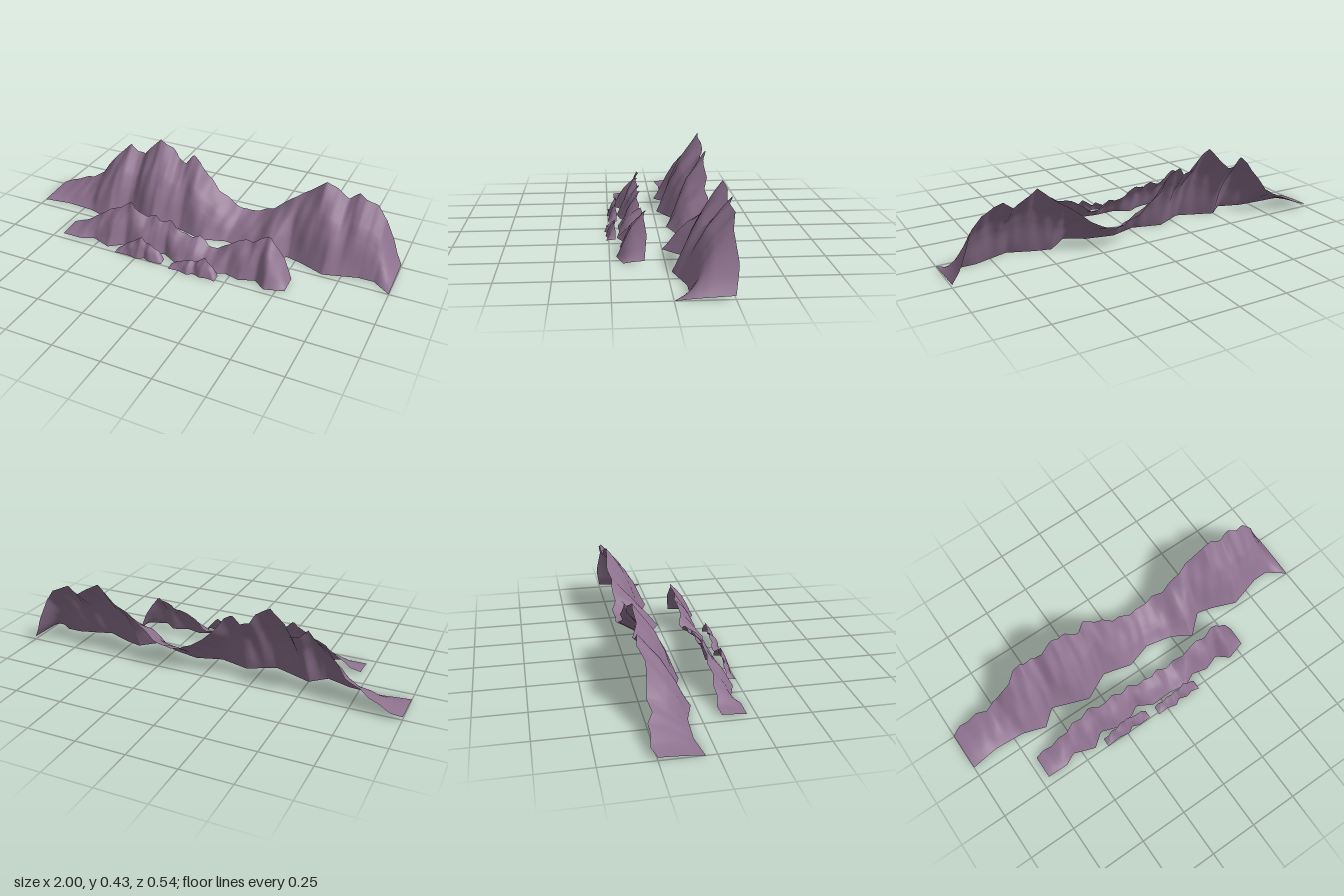
import * as THREE from 'three';

const rock = new THREE.MeshStandardMaterial({ color: 0x8e728f, side: THREE.DoubleSide });
rock.name = 'mauve rock';

// straight-line interpolation through [x, value] points
function sample(points, x) {
  for (let i = 1; i < points.length; i++) {
    const [x0, a] = points[i - 1], [x1, b] = points[i];
    if (x <= x1) return a + (b - a) * (x - x0) / (x1 - x0);
  }
  return points[points.length - 1][1];
}

// slope from foot (0) to crest (1): depth fraction -> height fraction
const slope = [[0, 0], [0.1, 0.13], [0.28, 0.41], [0.5, 0.65], [0.75, 0.83], [1, 1]];

// An open sheet rising from a zigzag foot line to a jagged crest line
function ridge(name, columns, rows, crest, foot, back, rough) {
  const x0 = crest[0][0], x1 = crest[crest.length - 1][0];
  const geometry = new THREE.PlaneGeometry(1, 1, columns, rows);
  const p = geometry.attributes.position;
  for (let i = 0; i < p.count; i++) {
    const u = p.getX(i) + 0.5, t = p.getY(i) + 0.5;
    const x = x0 + (x1 - x0) * u;
    const h = sample(crest, x), zf = sample(foot, x), zb = sample(back, x);
    // gullies that fade out at the foot, the crest and the ends
    const fade = Math.sin(Math.PI * t) * Math.min(1, 8 * u, 8 * (1 - u));
    const k = u * columns;
    const gully = fade * rough * (Math.sin(k * 0.42 + 3 * t) + 0.6 * Math.sin(k * 0.83 - 5 * t + 1));
    p.setXYZ(i, x, h * sample(slope, t), zf + (zb - zf) * t + gully);
  }
  geometry.computeVertexNormals();
  const mesh = new THREE.Mesh(geometry, rock);
  mesh.name = name;
  return mesh;
}

// crest depth that zigzags between the listed offsets
function jagged(x0, x1, z, offsets) {
  return offsets.map((o, i) => [x0 + (x1 - x0) * i / (offsets.length - 1), z + o]);
}

export function createModel() {
  const group = new THREE.Group();
  group.name = 'mountainRange';

  group.add(ridge('backRidge', 200, 14,
    [[-1, 0.015], [-0.93, 0.04], [-0.86, 0.075], [-0.78, 0.11], [-0.72, 0.15], [-0.68, 0.21], [-0.62, 0.28],
      [-0.54, 0.36], [-0.5, 0.32], [-0.46, 0.315], [-0.41, 0.37], [-0.35, 0.43], [-0.28, 0.39], [-0.25, 0.34],
      [-0.2, 0.32], [-0.165, 0.37], [-0.12, 0.34], [-0.07, 0.27], [0, 0.2], [0.06, 0.16], [0.13, 0.125],
      [0.17, 0.12], [0.23, 0.13], [0.31, 0.17], [0.4, 0.25], [0.5, 0.32], [0.58, 0.39], [0.64, 0.36],
      [0.7, 0.32], [0.75, 0.36], [0.8, 0.335], [0.85, 0.315], [0.9, 0.25], [0.94, 0.15], [0.97, 0.07], [1, 0.015]],
    [[-1, -0.05], [-0.86, -0.07], [-0.7, -0.06], [-0.58, -0.02], [-0.5, -0.09], [-0.31, -0.02], [-0.17, -0.09],
      [-0.02, -0.05], [0.11, -0.09], [0.25, -0.06], [0.35, 0], [0.45, -0.09], [0.53, -0.07], [0.66, -0.02],
      [0.83, -0.07], [0.91, -0.07], [1, 0]],
    jagged(-1, 1, -0.25, [0, -0.022, -0.01, -0.015, 0.015, 0, 0.01, 0.015, -0.015, -0.005, -0.02, 0.01, 0, 0.005,
      -0.015, 0.005, -0.02, 0, -0.015, 0.005, -0.01, 0.005, -0.01, -0.005, -0.015, 0.01, 0, 0.005, -0.012, -0.005,
      0, -0.015, -0.005, -0.02, 0, -0.015, 0, -0.02, 0]),
    0.006));

  group.add(ridge('middleRidge', 130, 10,
    [[-0.71, 0.01], [-0.65, 0.03], [-0.6, 0.06], [-0.53, 0.11], [-0.48, 0.145], [-0.42, 0.17], [-0.35, 0.22],
      [-0.31, 0.18], [-0.26, 0.155], [-0.21, 0.175], [-0.17, 0.15], [-0.12, 0.165], [-0.06, 0.12], [0, 0.105],
      [0.04, 0.12], [0.09, 0.075], [0.14, 0.07], [0.19, 0.11], [0.25, 0.15], [0.29, 0.165], [0.33, 0.165],
      [0.37, 0.195], [0.42, 0.215], [0.46, 0.165], [0.5, 0.1], [0.54, 0.01]],
    [[-0.71, 0.21], [-0.6, 0.21], [-0.54, 0.18], [-0.43, 0.22], [-0.36, 0.165], [-0.26, 0.2], [-0.18, 0.185],
      [-0.13, 0.155], [-0.05, 0.2], [0.06, 0.195], [0.16, 0.21], [0.22, 0.18], [0.3, 0.2], [0.38, 0.17],
      [0.44, 0.22], [0.54, 0.19]],
    jagged(-0.71, 0.54, 0.088, [0.005, -0.005, 0.008, 0, 0.01, -0.008, 0.004, -0.01, 0.01, 0.002, -0.01, 0.008,
      -0.008, 0.012, 0, 0.008, -0.01, 0.003, -0.008, 0.01, 0.002, -0.006, 0.008, -0.01, 0.004, -0.008, 0.005]),
    0.004));

  group.add(ridge('leftFoothill', 48, 8,
    [[-0.37, 0.005], [-0.33, 0.035], [-0.3, 0.06], [-0.27, 0.075], [-0.23, 0.108], [-0.21, 0.075], [-0.185, 0.08],
      [-0.16, 0.06], [-0.135, 0.045], [-0.105, 0.005]],
    [[-0.37, 0.25], [-0.3, 0.245], [-0.24, 0.255], [-0.21, 0.235], [-0.17, 0.25], [-0.105, 0.245]],
    jagged(-0.37, -0.105, 0.206, [0, 0.005, -0.003, 0.006, -0.004, 0.004, -0.003, 0.005, 0.002, -0.004, 0]),
    0.002));

  group.add(ridge('rightFoothill', 48, 8,
    [[-0.055, 0.005], [-0.02, 0.025], [0.02, 0.045], [0.05, 0.06], [0.075, 0.05], [0.1, 0.07], [0.13, 0.09],
      [0.155, 0.065], [0.18, 0.035], [0.2, 0.005]],
    [[-0.055, 0.262], [0, 0.258], [0.05, 0.272], [0.08, 0.25], [0.12, 0.265], [0.16, 0.255], [0.2, 0.265]],
    jagged(-0.055, 0.2, 0.218, [0, -0.004, 0.005, -0.002, 0.006, -0.003, 0.004, -0.004, 0.005, -0.002, 0]),
    0.002));

  return group;
}
